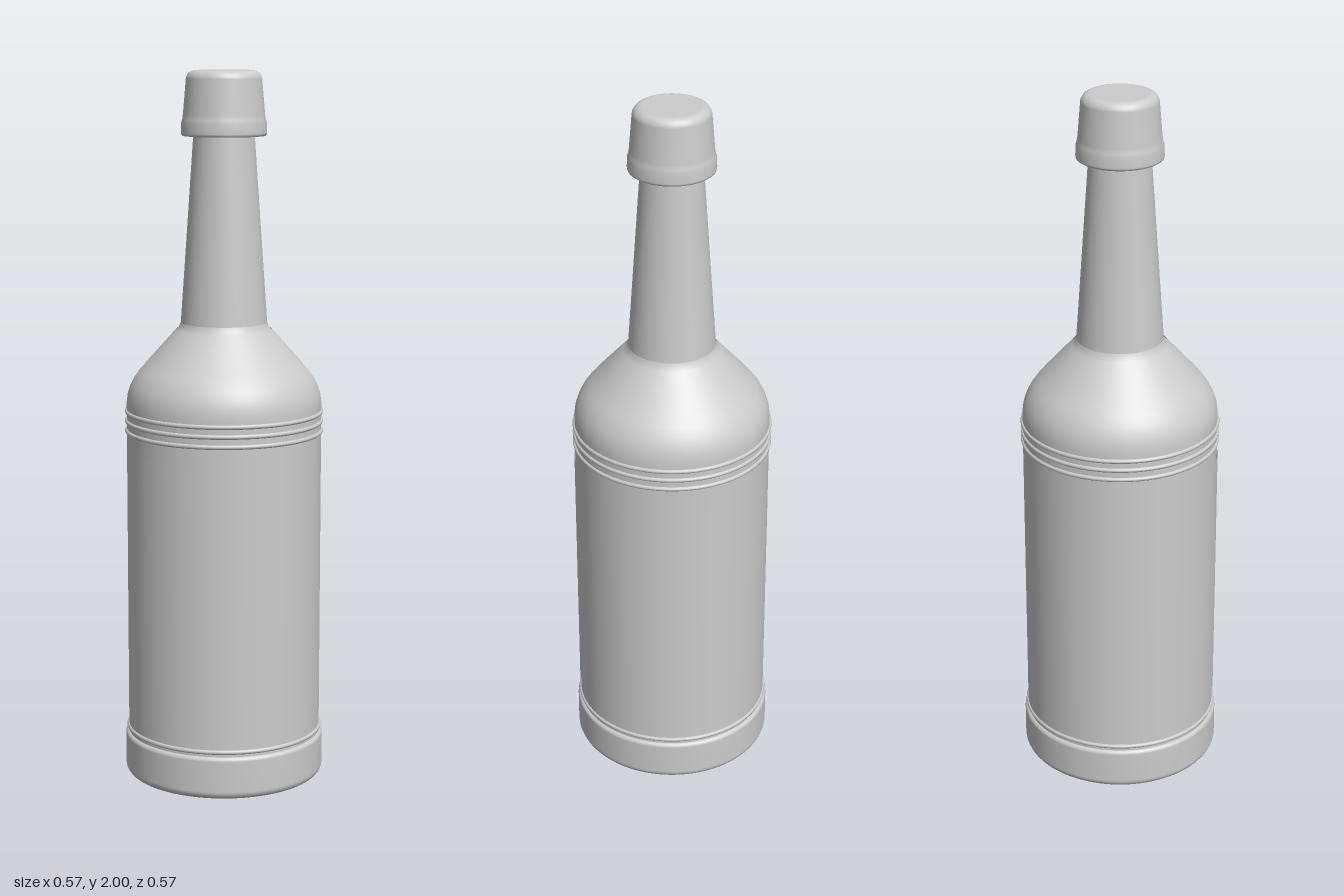
import * as THREE from 'three';

const SEGMENTS = 96;
const material = new THREE.MeshStandardMaterial({ color: 0xcccccc, roughness: 0.6 });
const thinMaterial = new THREE.MeshStandardMaterial({ color: 0xcccccc, roughness: 0.6, side: THREE.DoubleSide });

// Revolved part from [radius, height] points
function lathe(name, points, mat = material) {
  const profile = points.map(([r, y]) => new THREE.Vector2(r, y));
  const mesh = new THREE.Mesh(new THREE.LatheGeometry(profile, SEGMENTS), mat);
  mesh.name = name;
  return mesh;
}

// Quarter-round edge between two radii/heights, around a centre
function arc(cr, cy, radius, from, to, steps = 6) {
  return Array.from({ length: steps + 1 }, (_, i) => {
    const a = THREE.MathUtils.degToRad(from + (to - from) * i / steps);
    return [cr + radius * Math.cos(a), cy + radius * Math.sin(a)];
  });
}

// Curved front label with rounded corners
function frontLabel() {
  const radius = 0.2765, halfAngle = 0.985, bottom = 0.19, top = 0.95, corner = 0.02;
  const geometry = new THREE.CylinderGeometry(
    radius, radius, top - bottom, 120, 1, true, -halfAngle, halfAngle * 2);
  geometry.translate(0, (top + bottom) / 2, 0);
  const p = geometry.attributes.position;
  const middle = (top + bottom) / 2;
  for (let i = 0; i < p.count; i++) {
    const angle = Math.abs(Math.atan2(p.getX(i), p.getZ(i)));
    const inset = Math.max(0, corner - (halfAngle - angle) * radius);
    const drop = corner - Math.sqrt(Math.max(0, corner * corner - inset * inset));
    p.setY(i, p.getY(i) + (p.getY(i) > middle ? -drop : drop));
  }
  const mesh = new THREE.Mesh(geometry, thinMaterial);
  mesh.name = 'frontLabel';
  return mesh;
}

export function createModel() {
  const bottle = new THREE.Group();
  bottle.name = 'bottle';

  // Underside: hollow punt, then a sloping foot
  bottle.add(lathe('punt', [
    [0, 0.075], [0.04, 0.072], [0.08, 0.062], [0.115, 0.045], [0.14, 0.025], [0.15, 0.012],
  ]));
  bottle.add(lathe('foot', [[0.15, 0.012], [0.2, 0.004], [0.258, 0]]));

  // Thicker base with rounded edges
  bottle.add(lathe('base', [
    ...arc(0.258, 0.025, 0.025, -90, 0),
    ...arc(0.271, 0.113, 0.012, 0, 90),
  ]));

  // Straight body and rounded shoulder
  bottle.add(lathe('body', [[0.274, 0.12], [0.274, 1.0], [0.274, 1.06]]));
  bottle.add(lathe('shoulder', [
    [0.274, 1.06], [0.274, 1.08], [0.271, 1.103], [0.264, 1.125], [0.253, 1.147],
    [0.238, 1.168], [0.22, 1.187], [0.19, 1.22], [0.16, 1.254], [0.132, 1.285],
    [0.125, 1.294], [0.121, 1.305],
  ]));

  // Raised rings around the body
  for (const y of [0.138, 1.0, 1.028, 1.055]) {
    const ring = new THREE.Mesh(new THREE.TorusGeometry(0.273, 0.0065, 10, SEGMENTS), material);
    ring.rotation.x = Math.PI / 2;
    ring.position.y = y;
    ring.name = 'bodyRing';
    bottle.add(ring);
  }

  // Labels on body and shoulder
  bottle.add(frontLabel());
  bottle.add(lathe('shoulderLabel', [
    [0.2215, 1.188], [0.1915, 1.221], [0.1615, 1.255], [0.1335, 1.286],
  ], thinMaterial));

  // Tapered neck
  bottle.add(lathe('neck', [[0.121, 1.303], [0.112, 1.43], [0.085, 1.82], [0.084, 1.84]]));

  // Cap: flat underside, skirt and rounded crown
  bottle.add(lathe('capUnderside', [[0.075, 1.822], [0.114, 1.822]]));
  bottle.add(lathe('cap', [
    [0.114, 1.822], [0.118, 1.825], [0.119, 1.83], [0.118, 1.858],
    [0.115, 1.868], [0.113, 1.88],
    ...arc(0.079, 1.974, 0.026, 8, 90, 8),
    [0.04, 2], [0, 2],
  ]));

  return bottle;
}
